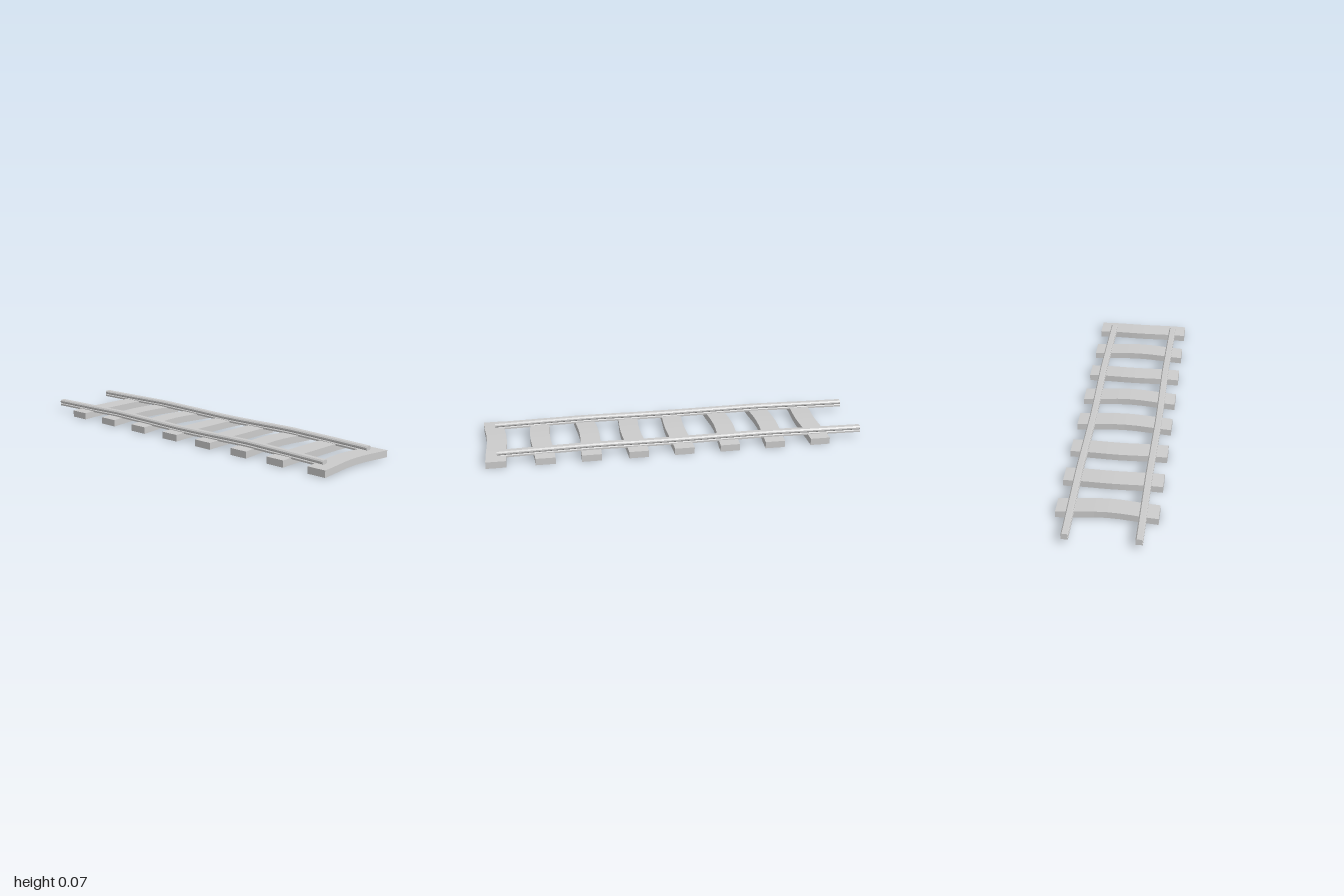
import * as THREE from 'three';

const material = new THREE.MeshStandardMaterial({ color: 0xcccccc, flatShading: true });

// Apply a displacement rule to every vertex
function bend(geometry, rule) {
  const p = geometry.attributes.position;
  const v = new THREE.Vector3();
  for (let i = 0; i < p.count; i++) {
    v.fromBufferAttribute(p, i);
    rule(v);
    p.setXYZ(i, v.x, v.y, v.z);
  }
  geometry.computeVertexNormals();
  return geometry;
}

// Linear interpolation through [x, value] pairs
function sample(keys, x) {
  for (let i = 1; i < keys.length; i++) {
    const [x0, a] = keys[i - 1];
    const [x1, b] = keys[i];
    if (x <= x1) return a + (b - a) * Math.max(0, (x - x0) / (x1 - x0));
  }
  return keys[keys.length - 1][1];
}

// Warped wooden sleeper: arched upwards and bowed sideways
function makeSleeper(x, bow) {
  const geometry = bend(new THREE.BoxGeometry(0.104, 0.036, 0.504, 1, 1, 8), (v) => {
    const c = Math.cos((v.z / 0.252) * Math.PI / 2);
    v.x += bow * c * c;
    v.y += 0.019 + 0.008 * c;
  });
  const mesh = new THREE.Mesh(geometry, material);
  mesh.name = 'sleeper';
  mesh.position.x = x;
  return mesh;
}

// Rail with foot, narrow web and chamfered head, slightly buckled along its length
function makeRail(z, name) {
  const half = [[0.018, 0.03], [0.018, 0.039], [0.013, 0.043], [0.018, 0.049], [0.018, 0.056], [0.012, 0.063]];
  const outline = [...half, ...half.map(([w, y]) => [-w, y]).reverse()];
  const shape = new THREE.Shape(outline.map(([w, y]) => new THREE.Vector2(w, y)));
  const rise = [[-1, 0], [-0.75, 0.004], [-0.5, 0.009], [-0.25, 0.006], [0, 0.003], [0.2, 0.005], [0.42, 0.009], [0.7, 0.004], [0.94, -0.001]];
  const sway = [[-1, 0], [-0.5, -0.002], [0, 0.003], [0.45, -0.003], [0.94, 0.001]];
  const geometry = new THREE.ExtrudeGeometry(shape, { depth: 1.94, steps: 16, bevelEnabled: false });
  geometry.rotateY(Math.PI / 2).translate(-1, 0, 0);
  bend(geometry, (v) => {
    v.y += sample(rise, v.x);
    v.z += sample(sway, v.x);
  });
  const mesh = new THREE.Mesh(geometry, material);
  mesh.name = name;
  mesh.position.z = z;
  return mesh;
}

export function createModel() {
  const track = new THREE.Group();
  track.name = 'railwayTrack';

  // Sleepers: position along the track and sideways bow
  const sleepers = [
    [-0.762, 0.014], [-0.516, -0.012], [-0.273, -0.014], [-0.03, 0.012],
    [0.211, 0.014], [0.457, -0.013], [0.695, 0.012], [0.948, -0.013],
  ];
  for (const [x, bow] of sleepers) track.add(makeSleeper(x, bow));

  // Pair of rails
  track.add(makeRail(0.177, 'frontRail'), makeRail(-0.177, 'backRail'));
  return track;
}
